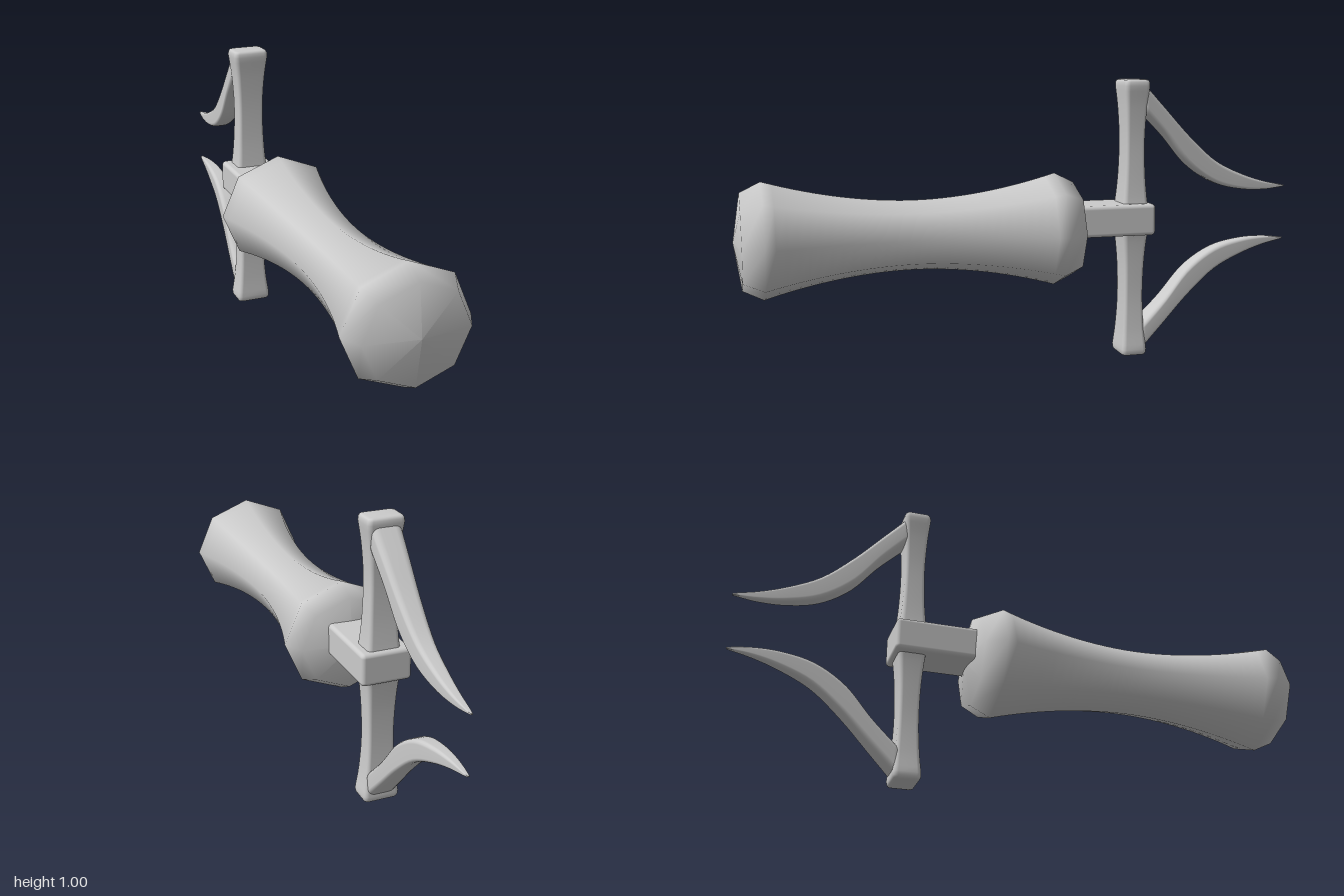
import * as THREE from 'three';
import { RoundedBoxGeometry } from 'three/addons/geometries/RoundedBoxGeometry.js';

const V = (x, y, z) => new THREE.Vector3(x, y, z);
const material = new THREE.MeshStandardMaterial({ color: 0xcccccc });

function part(name, geometry) {
  const mesh = new THREE.Mesh(geometry, material);
  mesh.name = name;
  return mesh;
}

// Rounded-rectangle outline: points in the (u, v) plane, counter-clockwise
function roundedRect(hu, hv, roundness) {
  const r = Math.min(hu, hv) * roundness, pts = [];
  [[1, 1], [-1, 1], [-1, -1], [1, -1]].forEach(([su, sv], corner) => {
    for (let i = 0; i < 5; i++) {
      const a = (corner + i / 4) * Math.PI / 2;
      pts.push([su * (hu - r) + r * Math.cos(a), sv * (hv - r) + r * Math.sin(a)]);
    }
  });
  return pts;
}

// Skin through sections {c: centre, u, v: unit axes, hu, hv: half sizes}, closed at both ends
function loft(sections, roundness) {
  const pos = [], index = [], n = 20;
  for (const { c, u, v, hu, hv } of sections) {
    for (const [a, b] of roundedRect(hu, hv, roundness)) {
      pos.push(...c.clone().addScaledVector(u, a).addScaledVector(v, b).toArray());
    }
  }
  const last = (sections.length - 1) * n;
  for (let s = 0; s < last; s += n) {
    for (let i = 0; i < n; i++) {
      const j = (i + 1) % n;
      index.push(s + i, s + j, s + n + j, s + i, s + n + j, s + n + i);
    }
  }
  const c0 = pos.length / 3;
  pos.push(...sections[0].c.toArray(), ...sections.at(-1).c.toArray());
  for (let i = 0; i < n; i++) {
    const j = (i + 1) % n;
    index.push(c0, j, i, c0 + 1, last + i, last + j);
  }
  const g = new THREE.BufferGeometry();
  g.setAttribute('position', new THREE.Float32BufferAttribute(pos, 3));
  g.setIndex(index);
  g.computeVertexNormals();
  return g;
}

// Eight-sided grip with a waisted middle and blunt pointed ends
function gripGeometry() {
  const half = [];
  for (let i = 0; i <= 14; i++) {
    const t = i / 14;
    half.push([0.121 + 0.079 * Math.pow(t, 1.9), 0.505 * t]);
  }
  half.push([0.165, 0.575], [0, 0.6]);
  const profile = [
    ...half.slice(1).reverse().map(([r, y]) => new THREE.Vector2(r, -y)),
    ...half.map(([r, y]) => new THREE.Vector2(r, y)),
  ];
  return new THREE.LatheGeometry(profile, 8).rotateX(Math.PI / 2).scale(1.05, 1, 1);
}

// Flared arm rising from the block; heights are measured from the block centre
function armGeometry() {
  const size = new THREE.CatmullRomCurve3([
    V(0.062, 0.03, 0.05), V(0.055, 0.08, 0.044), V(0.049, 0.17, 0.037),
    V(0.047, 0.29, 0.035), V(0.054, 0.40, 0.040), V(0.064, 0.475, 0.047),
  ]);
  const sections = size.getPoints(20);
  sections.push(V(0.063, 0.488, 0.046), V(0.059, 0.495, 0.042), V(0.05, 0.4975, 0.034));
  return loft(sections.map((p) => ({
    c: V(0, p.y, 0), u: V(0, 0, 1), v: V(1, 0, 0), hu: p.z, hv: p.x,
  })), 0.35);
}

// Curved tapering prong between an outer and an inner edge curve
function prongGeometry() {
  const outer = new THREE.CatmullRomCurve3([
    V(0, 0.49, -0.025), V(0, 0.395, -0.115), V(0, 0.29, -0.215), V(0, 0.2, -0.32),
    V(0, 0.147, -0.43), V(0, 0.118, -0.52), V(0, 0.101, -0.603),
  ]);
  const inner = new THREE.CatmullRomCurve3([
    V(0, 0.39, -0.025), V(0, 0.295, -0.12), V(0, 0.185, -0.215), V(0, 0.118, -0.32),
    V(0, 0.092, -0.43), V(0, 0.088, -0.52), V(0, 0.096, -0.603),
  ]);
  const sections = [];
  for (let i = 0; i <= 28; i++) {
    const t = i / 28, a = outer.getPoint(t), b = inner.getPoint(t);
    sections.push({
      c: a.clone().add(b).multiplyScalar(0.5), u: V(1, 0, 0),
      v: b.clone().sub(a).normalize(), hu: 0.004 + 0.048 * Math.pow(1 - t, 0.8),
      hv: a.distanceTo(b) / 2,
    });
  }
  return loft(sections, 0.5);
}

export function createModel() {
  const model = new THREE.Group();
  model.name = 'prongedTool';

  const grip = part('grip', gripGeometry());
  grip.position.set(0, 0.47, 0.4);

  // Square block joining the grip to the arms
  const block = part('block', new RoundedBoxGeometry(0.176, 0.112, 0.3, 3, 0.014));
  block.position.set(-0.006, 0.5, -0.31);
  model.add(grip, block);

  // Upper and lower arm with prong, the lower one turned over
  const arm = armGeometry(), prong = prongGeometry();
  for (const [name, turn] of [['upper', 0], ['lower', Math.PI]]) {
    const side = new THREE.Group();
    side.name = name + 'Side';
    side.add(part(name + 'Arm', arm), part(name + 'Prong', prong));
    side.position.set(-0.005, 0.4975, -0.396);
    side.rotation.z = turn;
    model.add(side);
  }
  return model;
}
